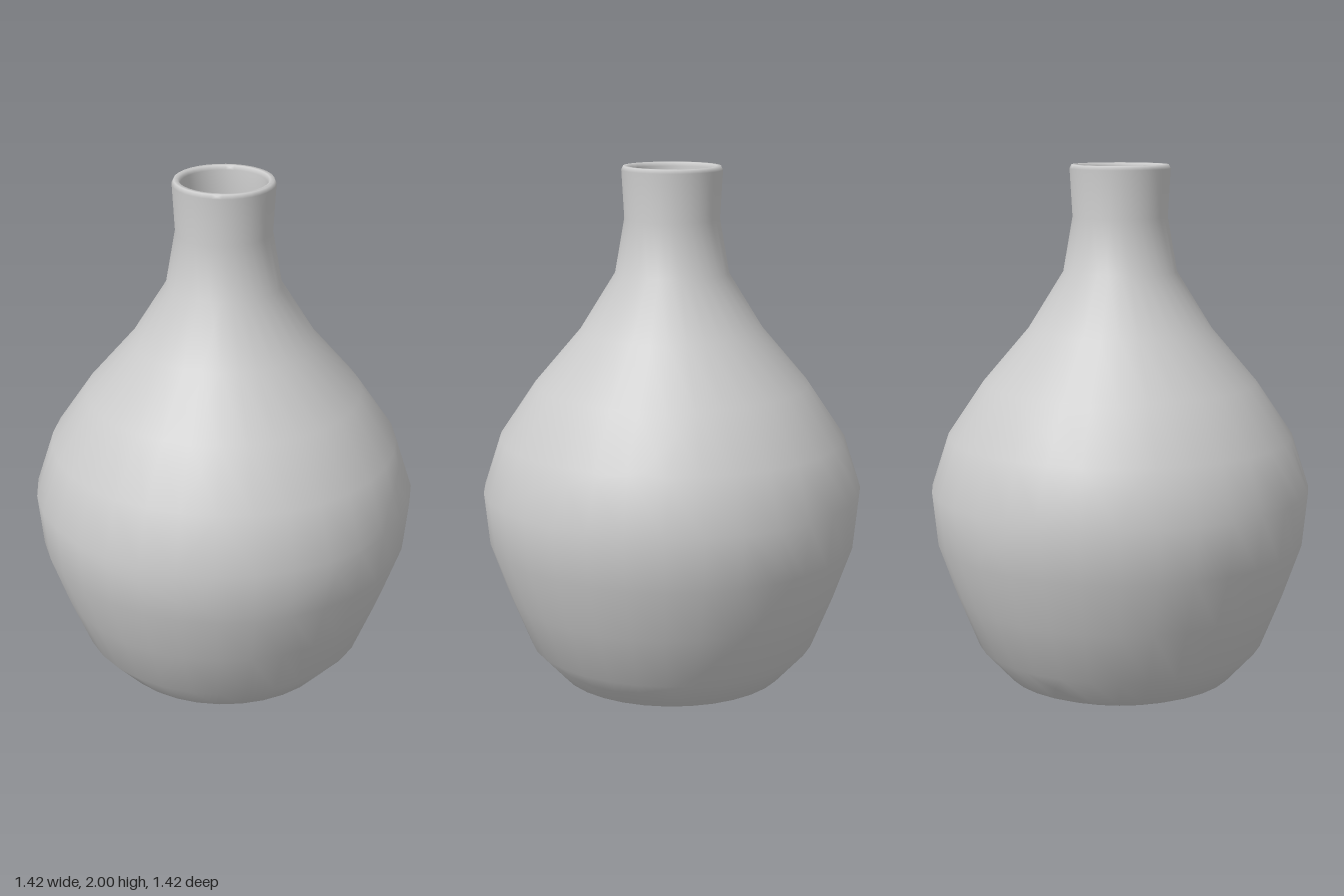
import * as THREE from 'three';
import { mergeVertices } from 'three/addons/utils/BufferGeometryUtils.js';

// Closed wall profile [radius, height]: outside going up, over the lip, inside going down
const OUTER = [[0, 0], [0.38, 0.06], [0.43, 0.08], [0.54, 0.2], [0.62, 0.4], [0.69, 0.6], [0.71, 0.8],
  [0.645, 1], [0.51, 1.2], [0.34, 1.4], [0.21, 1.61], [0.175, 1.81], [0.185, 1.985]];
const LIP = [[0.178, 2], [0.162, 2], [0.155, 1.985]];
const INNER = [[0.145, 1.81], [0.18, 1.6], [0.31, 1.39], [0.48, 1.19], [0.615, 0.99], [0.68, 0.8],
  [0.66, 0.6], [0.59, 0.41], [0.51, 0.22], [0.41, 0.115], [0, 0.05]];

// Each shard owns the region where its linear function a*x + b*y + c*z + d is largest
const SHARDS = {
  leftNeckShard: [0, 0, 0, 0],
  frontShard: [-1, 0, -0.1, 0],
  rightNeckShard: [-2.03, -1.08, -1.56, 1.42],
  lowerRightShard: [-2.49, -6.2, -2.55, 5.7],
  bottomShard: [0.27, -8.38, -2.45, 6.875],
  lowerLeftShard: [2.17, -7.36, -2.28, 5.8],
  backShard: [-1.09, -3.84, -3.36, 4.01],
};

// Keep the part of a polygon on the positive side of a plane
function clip(polygon, [a, b, c, d]) {
  const side = ({ p }) => a * p.x + b * p.y + c * p.z + d;
  const out = [];
  polygon.forEach((v, i) => {
    const w = polygon[(i + 1) % polygon.length];
    const s = side(v), t = side(w);
    if (s >= 0) out.push(v);
    if ((s >= 0) !== (t >= 0)) {
      const k = s / (s - t);
      out.push({ p: v.p.clone().lerp(w.p, k), n: v.n.clone().lerp(w.n, k).normalize() });
    }
  });
  return out;
}

// Triangles of the whole bottle, with smooth normals
function bottleTriangles() {
  const profile = [...OUTER, ...LIP, ...INNER].map(([r, y]) => new THREE.Vector2(r, y));
  const g = new THREE.LatheGeometry(profile, 32).toNonIndexed();
  const { position, normal } = g.attributes;
  const triangles = [];
  for (let i = 0; i < position.count; i += 3) {
    const tri = [0, 1, 2].map((k) => ({
      p: new THREE.Vector3().fromBufferAttribute(position, i + k),
      n: new THREE.Vector3().fromBufferAttribute(normal, i + k),
    }));
    if (new THREE.Triangle(...tri.map((v) => v.p)).getArea() > 1e-8) triangles.push(tri);
  }
  return triangles;
}

// Surface of one shard: every bottle triangle cut by the planes shared with the other shards
function shardGeometry(triangles, own, others) {
  const planes = others.map((o) => own.map((v, i) => v - o[i]));
  const points = [], normals = [];
  for (const tri of triangles) {
    const polygon = planes.reduce((poly, plane) => clip(poly, plane), tri);
    for (let i = 1; i + 1 < polygon.length; i++) {
      for (const v of [polygon[0], polygon[i], polygon[i + 1]]) {
        points.push(...v.p.toArray());
        normals.push(...v.n.toArray());
      }
    }
  }
  const g = new THREE.BufferGeometry();
  g.setAttribute('position', new THREE.Float32BufferAttribute(points, 3));
  g.setAttribute('normal', new THREE.Float32BufferAttribute(normals, 3));
  return mergeVertices(g);
}

export function createModel() {
  const group = new THREE.Group();
  group.name = 'crackedBottle';
  const material = new THREE.MeshStandardMaterial({ color: 0xcccccc });
  const triangles = bottleTriangles();
  for (const [name, own] of Object.entries(SHARDS)) {
    const others = Object.values(SHARDS).filter((o) => o !== own);
    const mesh = new THREE.Mesh(shardGeometry(triangles, own, others), material);
    mesh.name = name;
    group.add(mesh);
  }
  return group;
}
